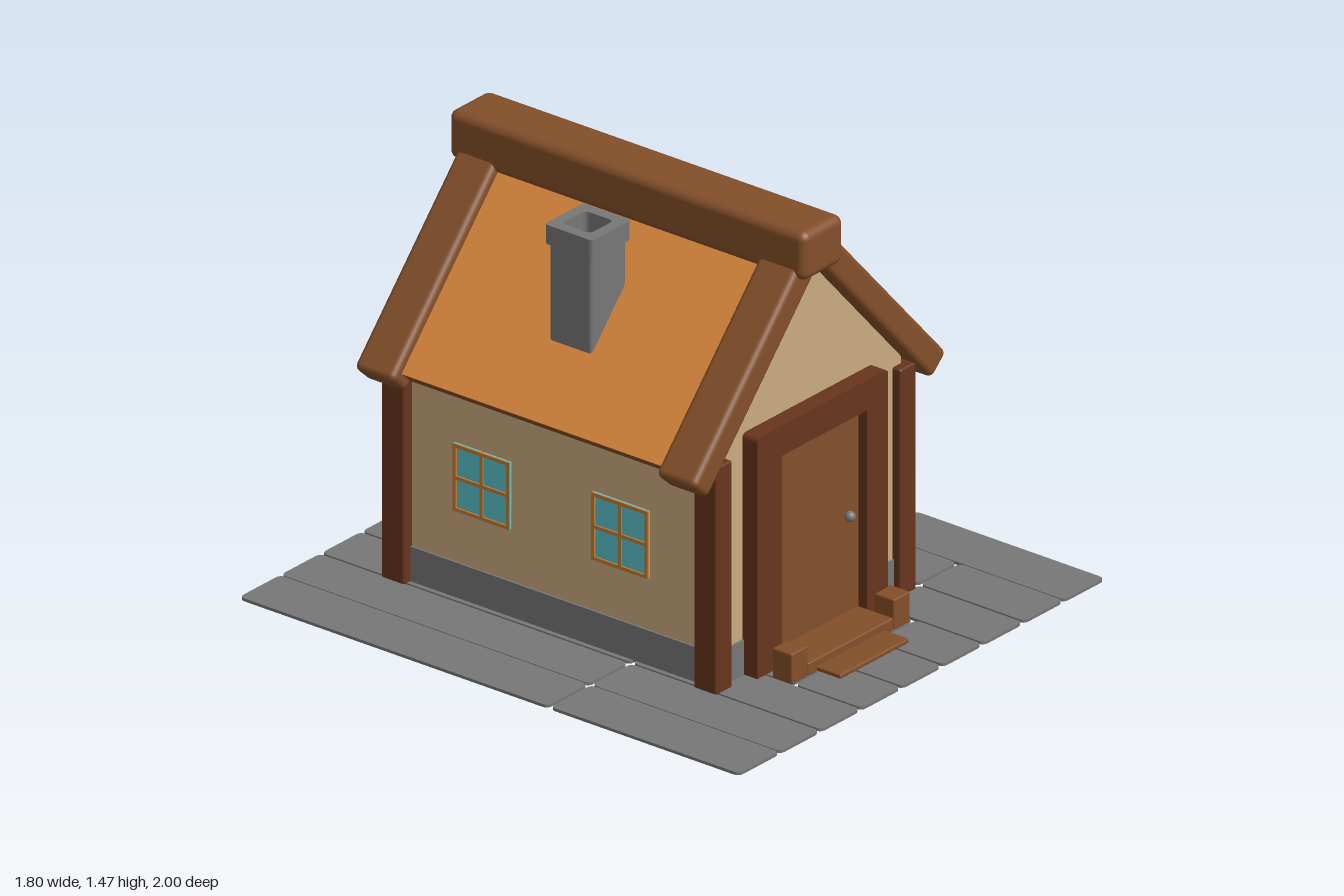
import * as THREE from 'three';
import { RoundedBoxGeometry } from 'three/addons/geometries/RoundedBoxGeometry.js';

const mat = (color) => new THREE.MeshStandardMaterial({ color });
const M = {
  stone: mat(0x777777), wall: mat(0xcbab80), roof: mat(0xd9883c), beam: mat(0x834f29),
  post: mat(0x67351d), door: mat(0x82502a), trim: mat(0xc47c34), glass: mat(0x5cc4cc), metal: mat(0x777777),
};
const CX = -0.017; // centre line of the house

// Box given by its min and max corners; r > 0 rounds the edges
function box(parent, name, m, [x0, x1], [y0, y1], [z0, z1], r = 0) {
  const w = x1 - x0, h = y1 - y0, d = z1 - z0;
  const g = r ? new RoundedBoxGeometry(w, h, d, 3, r) : new THREE.BoxGeometry(w, h, d);
  const mesh = new THREE.Mesh(g, m);
  mesh.name = name;
  mesh.position.set((x0 + x1) / 2, (y0 + y1) / 2, (z0 + z1) / 2);
  parent.add(mesh);
  return mesh;
}

function group(parent, name) {
  const g = new THREE.Group();
  g.name = name;
  parent.add(g);
  return g;
}

// Rectangle with rounded corners, centred on the origin
function roundRect(target, w, h, r) {
  const a = w / 2, b = h / 2;
  target.moveTo(-a + r, -b);
  target.lineTo(a - r, -b).quadraticCurveTo(a, -b, a, -b + r);
  target.lineTo(a, b - r).quadraticCurveTo(a, b, a - r, b);
  target.lineTo(-a + r, b).quadraticCurveTo(-a, b, -a, b - r);
  target.lineTo(-a, -b + r).quadraticCurveTo(-a, -b, -a + r, -b);
  return target;
}

// Rounded slab or ring lying flat, from y0 up
function slab(parent, name, m, x, z, w, d, r, y0, h, hole = 0) {
  const s = roundRect(new THREE.Shape(), w, d, r);
  if (hole) s.holes.push(roundRect(new THREE.Path(), hole, hole, 0.02));
  const g = new THREE.ExtrudeGeometry(s, { depth: h, bevelEnabled: false, curveSegments: 4 });
  const mesh = new THREE.Mesh(g.rotateX(-Math.PI / 2), m);
  mesh.name = name;
  mesh.position.set(x, y0, z);
  parent.add(mesh);
}

function addFloor(root) {
  const floor = group(root, 'floor');
  const splits = [0.24, 0.24, 0.24, 0.73, 0.73, 0.73, 0.58, 0.58, 0.24];
  splits.forEach((s, i) => {
    const x = -0.8 + i * 0.2;
    for (const [a, b] of [[-1, s - 0.006], [s + 0.006, 1]])
      slab(floor, 'plank', M.stone, x, (a + b) / 2, i % 8 ? 0.192 : 0.2, b - a, 0.022, 0, 0.01);
  });
}

function addWalls(root) {
  const s = new THREE.Shape();
  const hw = 0.455;
  s.moveTo(-hw, 0.005).lineTo(hw, 0.005).lineTo(hw, 0.815).lineTo(0, 1.315).lineTo(-hw, 0.815);
  const walls = new THREE.Mesh(new THREE.ExtrudeGeometry(s, { depth: 1.28, bevelEnabled: false }), M.wall);
  walls.name = 'walls';
  walls.position.set(CX, 0, -0.72);
  root.add(walls);
  box(root, 'foundation', M.stone, [CX - 0.462, CX + 0.462], [0.005, 0.13], [-0.727, 0.567]);
  for (const x of [-0.51, 0.397])
    for (const z of [-0.75, 0.5])
      box(root, 'cornerPost', M.post, [x, x + 0.08], [0.005, 0.79], [z, z + 0.092], 0.008);
}

function addRoof(root) {
  // Each slope is built flat, with local x running down from the ridge
  for (const side of [1, -1]) {
    const slope = group(root, side > 0 ? 'leftSlope' : 'rightSlope');
    slope.position.set(CX, 1.392, 0);
    slope.rotation.z = -side * 0.831;
    const span = (a, b) => (side > 0 ? [a, b] : [-b, -a]);
    box(slope, 'roofUnderside', M.beam, span(0.02, 0.837), [-0.043, 0.011], [-0.69, 0.54]);
    box(slope, 'roofPanel', M.roof, span(0.02, 0.837), [0.011, 0.018], [-0.69, 0.54]);
    for (const z of [-0.757, 0.452])
      box(slope, 'gableBoard', M.beam, span(0, 0.875), [-0.05, 0.05], [z, z + 0.158], 0.022);
  }
  box(root, 'ridgeBeam', M.beam, [-0.135, 0.065], [1.3, 1.468], [-0.79, 0.64], 0.03);
}

function addDoor(root) {
  const entry = group(root, 'entrance');
  // Frame: an arch of three sides, cut from one shape
  const s = new THREE.Shape();
  const [x0, x1, i0, i1] = [-0.342, 0.302, -0.22, 0.198];
  s.moveTo(x0, 0.005).lineTo(x0, 0.82).quadraticCurveTo(x0, 0.84, x0 + 0.02, 0.84);
  s.lineTo(x1 - 0.02, 0.84).quadraticCurveTo(x1, 0.84, x1, 0.82).lineTo(x1, 0.005);
  s.lineTo(i1, 0.005).lineTo(i1, 0.735).lineTo(i0, 0.735).lineTo(i0, 0.005);
  const frame = new THREE.Mesh(new THREE.ExtrudeGeometry(s, { depth: 0.08, bevelEnabled: false }), M.post);
  frame.name = 'doorFrame';
  frame.position.z = 0.54;
  entry.add(frame);
  box(entry, 'door', M.door, [i0, i1], [0.02, 0.735], [0.54, 0.585]);
  const knob = new THREE.Mesh(new THREE.SphereGeometry(0.018, 16, 12), M.metal);
  knob.name = 'doorKnob';
  knob.position.set(0.14, 0.385, 0.6);
  entry.add(knob);
  // Steps and the blocks beside them
  box(entry, 'upperStep', M.beam, [-0.222, 0.198], [0.008, 0.052], [0.58, 0.727], 0.006);
  box(entry, 'lowerStep', M.beam, [-0.18, 0.157], [0.01, 0.026], [0.71, 0.822], 0.005);
  for (const x of [-0.303, 0.2])
    box(entry, 'stepBlock', M.beam, [x, x + 0.08], [0.008, 0.113], [0.648, 0.727], 0.006);
}

function addWindows(root) {
  for (const side of [1, -1])
    for (const z of [0.183, -0.372]) {
      const win = group(root, 'window');
      win.position.set(CX + side * 0.455, 0.425, z);
      const W = 0.113, H = 0.116, t = 0.012;
      box(win, 'pane', M.glass, [-0.006, 0.006], [-H, H], [-W, W]);
      for (const k of [-1, 0, 1]) {
        const y = k * (H - t / 2), w = k * (W - t / 2);
        box(win, 'windowBar', M.trim, [-0.012, 0.012], [y - t / 2, y + t / 2], [-W, W]);
        box(win, 'windowBar', M.trim, [-0.012, 0.012], [-H, H], [w - t / 2, w + t / 2]);
      }
    }
}

function addChimney(root) {
  const chimney = group(root, 'chimney');
  chimney.position.set(-0.335, 0, -0.065);
  slab(chimney, 'stack', M.stone, 0, 0, 0.17, 0.17, 0.012, 0.9, 0.42, 0.115);
  slab(chimney, 'cap', M.stone, 0, 0, 0.192, 0.192, 0.016, 1.31, 0.066, 0.115);
  slab(chimney, 'flueFloor', M.stone, 0, 0, 0.14, 0.14, 0.01, 1.28, 0.02);
}

export function createModel() {
  const root = new THREE.Group();
  root.name = 'cottage';
  addFloor(root);
  addWalls(root);
  addRoof(root);
  addDoor(root);
  addWindows(root);
  addChimney(root);
  return root;
}
